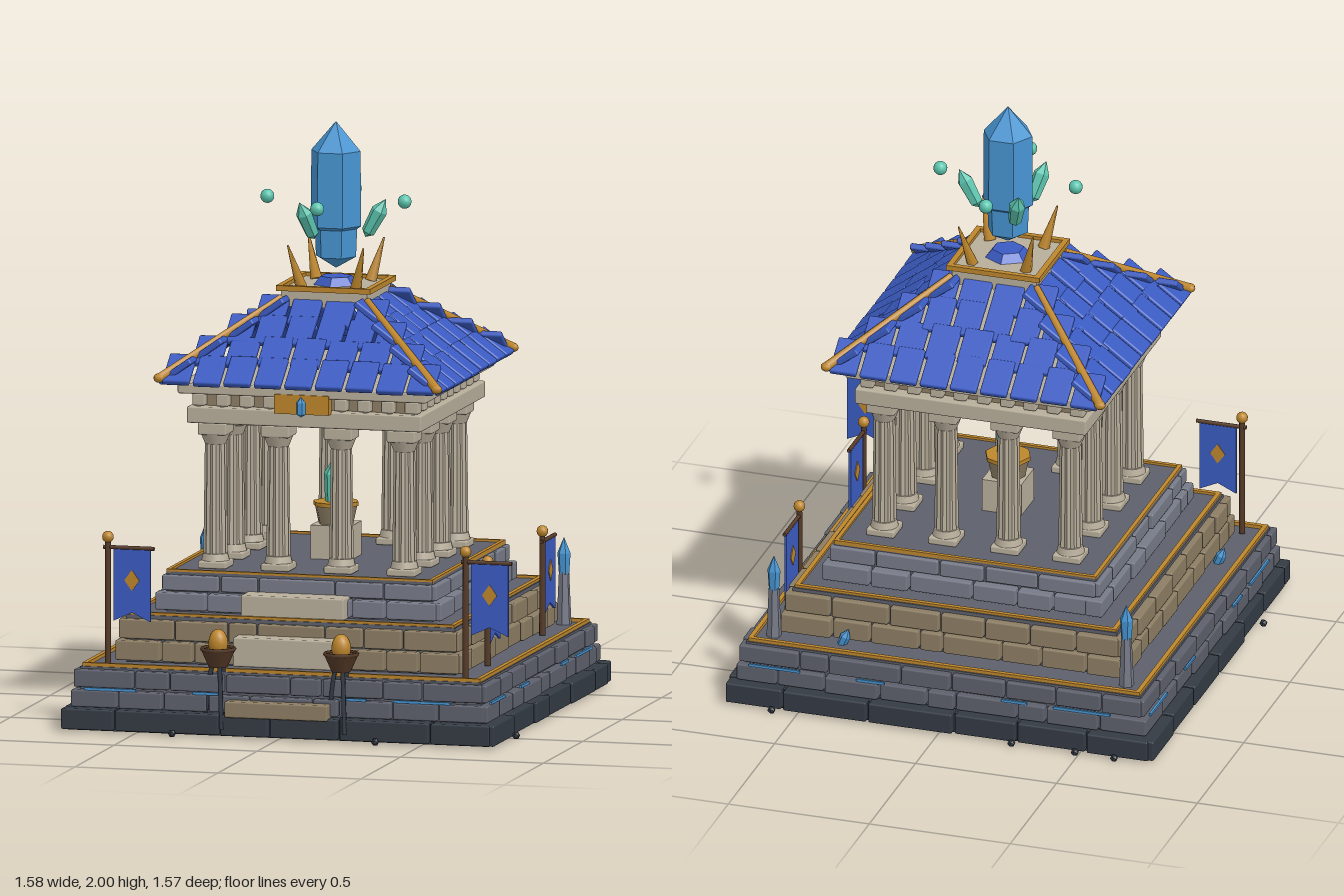
import * as THREE from 'three';
import { RoundedBoxGeometry } from 'three/addons/geometries/RoundedBoxGeometry.js';

const mat = (name, color) => {
  const m = new THREE.MeshStandardMaterial({ color });
  m.name = name;
  return m;
};

export function createModel() {
  const M = {
    dark: mat('dark basalt', 0x343b44),
    slate: mat('slate', 0x5d606c),
    pale: mat('pale slate', 0x777b88),
    tan: mat('tan stone', 0x8d7e64),
    light: mat('light stone', 0xb8ae9b),
    gold: mat('gold', 0xbd862c),
    blue: mat('royal blue', 0x3b5bc2),
    crystal: mat('blue crystal', 0x4795d2),
    teal: mat('teal crystal', 0x5cc4ae),
    wood: mat('dark wood', 0x553a28),
  };
  const root = new THREE.Group();
  root.name = 'crystalShrine';

  let seed = 7;
  const rnd = () => (seed = (seed * 16807) % 2147483647) / 2147483647;
  const group = (name, parent = root, x = 0, y = 0, z = 0, ry = 0) => {
    const g = new THREE.Group();
    g.name = name;
    g.position.set(x, y, z);
    g.rotation.y = ry;
    parent.add(g);
    return g;
  };
  const add = (name, geo, m, x = 0, y = 0, z = 0, parent = root) => {
    const mesh = new THREE.Mesh(geo, m);
    mesh.name = name;
    mesh.position.set(x, y, z);
    parent.add(mesh);
    return mesh;
  };
  const box = (w, h, d) => new THREE.BoxGeometry(w, h, d);
  const stone = (w, h, d) => new RoundedBoxGeometry(w, h, d, 1, 0.006);
  const flat = (geo) => {
    const g = geo.index ? geo.toNonIndexed() : geo;
    g.computeVertexNormals();
    return g;
  };
  const cyl = (rt, rb, h, n) => new THREE.CylinderGeometry(rt, rb, h, n);
  const fourSides = (name, fn, parent = root) => {
    for (let k = 0; k < 4; k++) fn(group(name, parent, 0, 0, 0, k * Math.PI / 2), k);
  };
  // faceted crystal from [radius, height] points, upright around y
  const crystalGeo = (pts, n = 6) =>
    flat(new THREE.LatheGeometry(pts.map(p => new THREE.Vector2(...p)), n).rotateY(Math.PI / 6));
  // tapered rod between two points
  const rod = (name, a, b, ra, rb, m, parent = root, n = 8) => {
    const A = new THREE.Vector3(...a), B = new THREE.Vector3(...b), d = B.clone().sub(A);
    const mesh = add(name, cyl(rb, ra, d.length(), n), m, 0, 0, 0, parent);
    mesh.position.copy(A).add(B).multiplyScalar(0.5);
    mesh.quaternion.setFromUnitVectors(new THREE.Vector3(0, 1, 0), d.normalize());
    return mesh;
  };
  // square ring of bricks with slightly uneven lengths and faces
  const course = (name, half, y0, y1, n, m, depth = 0.06) => fourSides(name, (g, k) => {
    const cuts = [-half];
    for (let i = 1; i < n; i++) cuts.push(-half + (2 * half * (i + (rnd() - 0.5) * 0.5)) / n);
    cuts.push(half - (k % 2 ? depth : 0.01));
    for (let i = 0; i < n; i++) {
      const w = cuts[i + 1] - cuts[i], out = (rnd() - 0.5) * 0.012;
      add('brick', stone(w - 0.008, y1 - y0 - 0.005, depth), m,
        (cuts[i] + cuts[i + 1]) / 2, (y0 + y1) / 2, half - depth / 2 + out, g);
    }
  });
  const frame = (name, half, y, h, w) => fourSides(name, g =>
    add('goldTrim', box(2 * half, h, w), M.gold, 0, y, half - w / 2, g));

  // foundation slab with stone edging
  add('foundation', box(1.47, 0.07, 1.47), M.dark, 0, 0.04, 0);
  course('foundationEdge', 0.758, 0.006, 0.082, 6, M.dark);

  // three stepped tiers
  add('lowerTier', box(1.40, 0.14, 1.40), M.slate, 0, 0.147, 0);
  course('lowerBricks', 0.73, 0.08, 0.143, 9, M.slate);
  course('lowerBricks', 0.722, 0.147, 0.212, 8, M.slate);
  frame('lowerTrim', 0.695, 0.221, 0.016, 0.016);
  add('middleTier', box(1.15, 0.16, 1.15), M.slate, 0, 0.30, 0);
  course('middleBricks', 0.61, 0.225, 0.298, 8, M.tan);
  course('middleBricks', 0.60, 0.298, 0.37, 7, M.tan);
  frame('middleTrim', 0.57, 0.381, 0.016, 0.016);
  add('upperTier', box(0.93, 0.14, 0.93), M.slate, 0, 0.445, 0);
  course('upperBricks', 0.50, 0.385, 0.45, 6, M.pale);
  course('upperBricks', 0.48, 0.45, 0.508, 5, M.pale);
  frame('upperTrim', 0.465, 0.516, 0.014, 0.014);

  // glowing seams between the lower courses
  fourSides('glowSeams', g => [[-0.59, 0.18], [-0.25, 0.1], [0.26, 0.09], [0.5, 0.2]].forEach(([x, w]) =>
    add('glowSeam', box(w, 0.009, 0.008), M.crystal, x, 0.145, 0.727, g)));

  // front steps
  add('lowerStep', stone(0.36, 0.055, 0.06), M.tan, 0, 0.1, 0.74);
  add('middleStep', stone(0.36, 0.10, 0.08), M.light, 0, 0.28, 0.62);
  add('upperStep', stone(0.36, 0.075, 0.09), M.light, 0, 0.422, 0.515);

  // fluted columns around the perimeter
  const shaftGeo = cyl(0.036, 0.041, 0.38, 20);
  const p = shaftGeo.attributes.position;
  for (let i = 0; i < p.count; i++) {
    const a = Math.round(Math.atan2(p.getX(i), p.getZ(i)) / (Math.PI / 10));
    const s = a % 2 ? 0.84 : 1;
    p.setXYZ(i, p.getX(i) * s, p.getY(i), p.getZ(i) * s);
  }
  const fluted = flat(shaftGeo);
  const spots = [-0.33, -0.11, 0.11, 0.33];
  for (const x of spots) for (const z of spots) {
    if (Math.abs(x) < 0.2 && Math.abs(z) < 0.2) continue;
    const c = group('column', root, x, 0, z);
    add('columnBase', stone(0.1, 0.025, 0.1), M.light, 0, 0.528, 0, c);
    add('baseRing', cyl(0.042, 0.048, 0.025, 16), M.light, 0, 0.552, 0, c);
    add('shaft', fluted, M.light, 0, 0.755, 0, c);
    add('capitalRing', cyl(0.05, 0.036, 0.035, 16), M.light, 0, 0.955, 0, c);
    add('capital', stone(0.1, 0.042, 0.1), M.light, 0, 0.992, 0, c);
  }

  // altar with its crystal
  add('altar', box(0.14, 0.12, 0.14), M.light, 0, 0.57, 0);
  add('altarBowl', cyl(0.075, 0.055, 0.09, 8), M.tan, 0, 0.65, 0);
  add('altarRim', cyl(0.079, 0.079, 0.014, 8), M.gold, 0, 0.698, 0);
  add('altarCrystal', crystalGeo([[0, 0], [0.038, 0], [0.042, 0.1], [0, 0.165]]), M.teal, 0, 0.7, 0);

  // entablature, dentils and cornice
  add('architrave', stone(0.82, 0.056, 0.82), M.light, 0, 1.043, 0);
  add('frieze', box(0.73, 0.06, 0.73), M.tan, 0, 1.095, 0);
  fourSides('dentils', g => {
    for (let i = 0; i < 9; i++) add('dentil', stone(0.045, 0.042, 0.05), M.light, -0.372 + i * 0.0825, 1.094, 0.372, g);
  });
  add('cornice', stone(0.87, 0.036, 0.87), M.light, 0, 1.136, 0);
  add('crestPlate', box(0.19, 0.066, 0.04), M.gold, 0, 1.097, 0.42);
  add('crestGem', crystalGeo([[0, -0.035], [0.016, -0.025], [0.016, 0.015], [0, 0.035]]), M.crystal, 0, 1.09, 0.445);

  // overlapping roof tiles, four rows per side
  const rows = [[0.49, 1.16, 9], [0.405, 1.217, 7], [0.318, 1.277, 6], [0.235, 1.337, 4]];
  const tilt = Math.atan2(0.08, 0.11);
  fourSides('roofSide', g => rows.forEach(([half, y, n], r) => {
    const w = (2 * half - (r ? 0.01 : 0.02)) / n;
    for (let i = 0; i < n; i++) {
      const t = add('roofTile', stone(w - 0.013, 0.022, 0.135), M.blue,
        (i - (n - 1) / 2) * w, y + 0.038 + (rnd() - 0.5) * 0.006, half - 0.055, g);
      t.rotation.x = tilt;
    }
  }));
  fourSides('hipRidge', g => {
    rod('ridge', [0.485, 1.175, 0.485], [0.15, 1.415, 0.15], 0.017, 0.012, M.gold, g);
    const tip = add('ridgeEnd', new THREE.SphereGeometry(0.02, 8, 6), M.gold, 0.485, 1.176, 0.485, g);
    tip.scale.y = 0.8;
  });

  // roof crown
  add('crownBlock', box(0.30, 0.06, 0.30), M.light, 0, 1.415, 0);
  frame('crownTrim', 0.165, 1.448, 0.018, 0.02);
  add('crystalSeat', flat(cyl(0.055, 0.08, 0.03, 6)), M.blue, 0, 1.458, 0);
  fourSides('prong', g =>
    rod('crownProng', [0.095, 1.445, 0.095], [0.132, 1.59, 0.132], 0.021, 0.003, M.gold, g, 6));

  // floating crystals and orbs
  add('mainCrystal', crystalGeo([[0, 1.5], [0.07, 1.54], [0.074, 1.635], [0.088, 1.645], [0.086, 1.9], [0, 2]]), M.crystal);
  for (let k = 0; k < 3; k++) {
    const g = group('sideCrystal', root, 0, 0, 0, k * Math.PI * 2 / 3);
    const c = add('shard', crystalGeo([[0, -0.075], [0.023, -0.055], [0.028, 0.03], [0, 0.075]]), M.teal, 0.138, 1.675, 0, g);
    c.rotation.z = -0.5;
  }
  fourSides('floatingOrb', g => add('orb', new THREE.SphereGeometry(0.024, 12, 8), M.teal, 0.24, 1.735, 0, g));

  // banners on poles
  const clothShape = new THREE.Shape([[0.02, 0], [0.15, 0], [0.15, -0.245], [0.085, -0.215], [0.02, -0.245]]
    .map(q => new THREE.Vector2(...q)));
  const diamondShape = new THREE.Shape([[0, 0.036], [0.026, 0], [0, -0.036], [-0.026, 0]]
    .map(q => new THREE.Vector2(...q)));
  const slab = (s, d) => new THREE.ExtrudeGeometry(s, { depth: d, bevelEnabled: false }).translate(0, 0, -d / 2);
  const banner = (x, z, top, ry) => {
    const b = group('banner', root, x, 0, z, ry);
    rod('pole', [0, 0.22, 0], [0, top, 0], 0.011, 0.01, M.wood, b);
    add('poleBall', new THREE.SphereGeometry(0.02, 12, 8), M.gold, 0, top, 0, b);
    rod('crossbar', [-0.015, top - 0.035, 0], [0.162, top - 0.035, 0], 0.007, 0.007, M.wood, b);
    add('cloth', slab(clothShape, 0.008), M.blue, 0, top - 0.04, 0, b);
    add('diamond', slab(diamondShape, 0.014), M.gold, 0.085, top - 0.145, 0, b);
  };
  banner(-0.625, 0.625, 0.65, 0);
  banner(0.625, 0.625, 0.65, 0);
  banner(0.625, 0.345, 0.575, Math.PI / 2);
  banner(0.625, -0.35, 0.575, Math.PI / 2);

  // braziers flanking the steps
  for (const x of [-0.215, 0.215]) {
    const b = group('brazier', root, x, 0, 0.715);
    for (let k = 0; k < 3; k++) {
      const a = k * Math.PI * 2 / 3 + 0.5, s = Math.sin(a), c = Math.cos(a);
      rod('leg', [0.05 * s, 0.03, 0.05 * c], [0.022 * s, 0.25, 0.022 * c], 0.008, 0.008, M.dark, b, 6);
    }
    add('bowl', cyl(0.06, 0.033, 0.06, 12), M.wood, 0, 0.268, 0, b);
    const rim = add('bowlRim', new THREE.TorusGeometry(0.055, 0.007, 6, 16), M.wood, 0, 0.298, 0, b);
    rim.rotation.x = Math.PI / 2;
    const flame = add('flame', new THREE.SphereGeometry(0.034, 12, 10), M.gold, 0, 0.318, 0, b);
    flame.scale.y = 1.4;
  }

  // rear corner obelisks with crystal tips
  for (const x of [-0.625, 0.625]) {
    const o = group('obelisk', root, x, 0, -0.625);
    add('obeliskShaft', flat(cyl(0.018, 0.026, 0.18, 6)), M.pale, 0, 0.305, 0, o);
    add('obeliskCrystal', crystalGeo([[0, 0.38], [0.018, 0.39], [0.023, 0.46], [0, 0.515]]), M.crystal, 0, 0, 0, o);
  }
  // small crystals sprouting from the lower tier
  for (const [x, z] of [[-0.615, 0.385], [0.39, -0.615]]) {
    const c = add('smallCrystal', crystalGeo([[0, 0], [0.016, 0.005], [0.018, 0.04], [0, 0.07]]), M.crystal, x, 0.21, z);
    c.rotation.z = 0.4;
  }

  // loose rubble on the ground
  for (const [x, z] of [[-0.63, -0.775], [-0.49, -0.772], [-0.265, -0.772], [0.585, -0.775],
    [-0.778, 0.39], [0.77, 0.51], [-0.36, 0.775], [0.35, 0.775]]) {
    add('rubble', flat(new THREE.IcosahedronGeometry(0.014, 0)), M.dark, x, 0.012, z);
  }
  return root;
}
